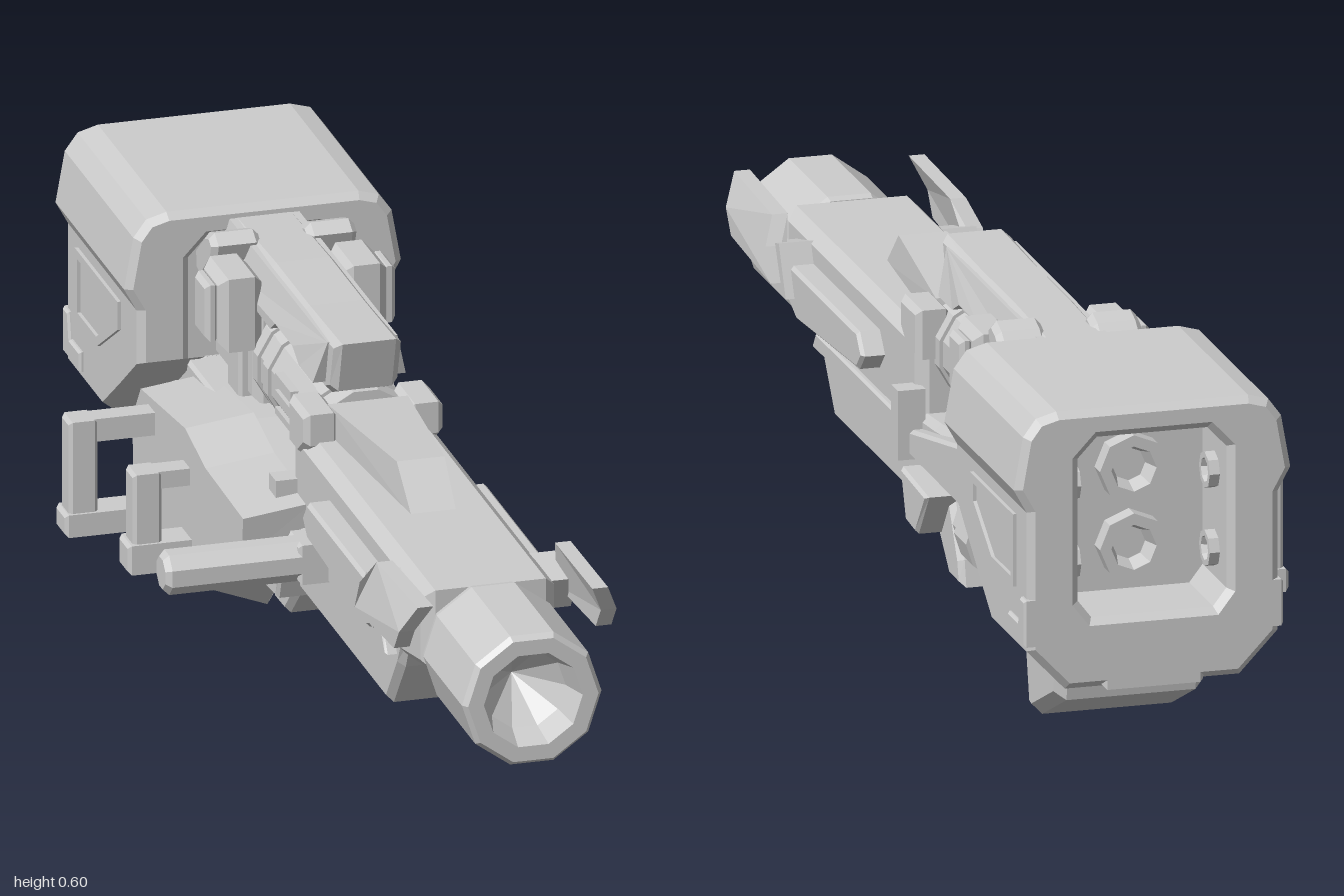
import * as THREE from 'three';

const CX = 0.08; // the gun's own centre line
const gunmetal = new THREE.MeshStandardMaterial({ color: 0xcccccc });
gunmetal.name = 'light gunmetal grey';

export function createModel() {
  const root = new THREE.Group();
  root.name = 'heavyGun';

  function add(name, geometry) {
    const g = geometry.index ? geometry.toNonIndexed() : geometry;
    g.computeVertexNormals(); // faceted
    const mesh = new THREE.Mesh(g, gunmetal);
    mesh.name = name;
    root.add(mesh);
    return mesh;
  }
  const shapeOf = pts => new THREE.Shape(pts.map(p => new THREE.Vector2(p[0], p[1])));
  const extrude = (shape, depth, b, steps = 1) => {
    const g = new THREE.ExtrudeGeometry(shape, {
      depth: depth - 2 * b, steps, bevelEnabled: b > 0, bevelThickness: b,
      bevelSize: b, bevelOffset: -b, bevelSegments: 1,
    });
    return g.translate(0, 0, b);
  };
  // move every vertex by a rule that edits the vector in place
  const reshape = (g, rule) => {
    const p = g.attributes.position;
    const v = new THREE.Vector3();
    for (let i = 0; i < p.count; i++) {
      rule(v.fromBufferAttribute(p, i));
      p.setXYZ(i, v.x, v.y, v.z);
    }
    g.computeVertexNormals();
    return g;
  };
  // side profile of [z, y] points, stretched from x0 to x1
  const prism = (name, pts, x0, x1, b = 0) =>
    add(name, extrude(shapeOf(pts), x1 - x0, b).rotateY(-Math.PI / 2).translate(x1, 0, 0));
  const pair = (name, pts, x0, x1, b = 0) => [
    prism(name + 'Left', pts, x0, x1, b),
    prism(name + 'Right', pts, 2 * CX - x1, 2 * CX - x0, b)];
  const rect = (z0, z1, y0, y1) => [[z0, y0], [z1, y0], [z1, y1], [z0, y1]];
  const box = (name, x0, x1, y0, y1, z0, z1, b = 0.006) => prism(name, rect(z0, z1, y0, y1), x0, x1, b);
  const tube = (name, r, z0, z1, x, y, sides) =>
    add(name, new THREE.CylinderGeometry(r, r, z1 - z0, sides).rotateX(Math.PI / 2)
      .rotateZ(Math.PI / sides).translate(x, y, (z0 + z1) / 2));

  // muzzle with a conical bore
  const muzzle = [[0, 0.745], [0.116, 0.75], [0.12, 0.765], [0.12, 0.89], [0.12, 0.99],
    [0.112, 1], [0.085, 1], [0.07, 0.95], [0, 0.87]];
  add('muzzle', new THREE.LatheGeometry(muzzle.map(p => new THREE.Vector2(...p)), 10, Math.PI / 2)
    .rotateX(Math.PI / 2).translate(CX, 0.326, 0));

  // barrel shroud and lower fore-end
  prism('barrelShroud', [[0.75, 0.29], [0.75, 0.435], [-0.02, 0.435], [-0.02, 0.26], [0.6, 0.26]], -0.035, 0.195, 0.02);
  prism('foreEnd', [[0.6, 0.29], [0.57, 0.23], [0.5, 0.14], [-0.02, 0.14], [-0.02, 0.29]], -0.025, 0.185, 0.012);
  pair('foreEndStrip', [[0.56, 0.25], [0.54, 0.28], [0, 0.28], [0, 0.25]], 0.18, 0.205, 0.004);

  // top wedge, tapered towards the muzzle
  const wedge = prism('topWedge', [[0.42, 0.43], [0.34, 0.5], [0.03, 0.485], [0.02, 0.43]], 0.01, 0.15);
  reshape(wedge.geometry, v => {
    const t = THREE.MathUtils.clamp((v.z - 0.02) / 0.35, 0, 1);
    v.x = CX + (v.x - CX) * (1 - 0.45 * t);
  });

  // side rails, forward blades leaning inwards at the top, and shoulder blocks
  pair('sideRail', [[0.66, 0.37], [0.62, 0.33], [0.55, 0.3], [0.2, 0.32], [0.17, 0.35], [0.2, 0.385], [0.6, 0.385]], 0.18, 0.235, 0.006);
  const bladeSide = [[0.88, 0.462], [0.85, 0.41], [0.82, 0.37], [0.59, 0.355], [0.62, 0.41], [0.65, 0.455]];
  for (const blade of pair('forwardBlade', bladeSide, 0.24, 0.267))
    reshape(blade.geometry, v => {
      v.x -= Math.sign(v.x - CX) * Math.max(0, v.y - 0.41) * 0.45;
    });
  pair('bladeMount', [[0.68, 0.4], [0.64, 0.335], [0.56, 0.335], [0.6, 0.42]], 0.19, 0.25);
  pair('shoulderBlock', [[0.07, 0.43], [0.07, 0.485], [-0.03, 0.485], [-0.03, 0.4], [0.03, 0.4]], 0.14, 0.2, 0.01);
  pair('framePlate', [[0.01, 0.23], [0.01, 0.35], [-0.03, 0.35], [-0.03, 0.23]], 0.185, 0.232);

  // exposed chamber with ribs
  tube('chamber', 0.085, -0.36, 0.02, CX, 0.415, 12);
  for (const z of [-0.04, -0.27, -0.33]) tube('chamberRing', 0.091, z - 0.015, z + 0.015, CX, 0.415, 12);
  for (const y of [0.385, 0.415, 0.445])
    pair('chamberRib', rect(-0.21, -0.12, y - 0.006, y + 0.006), 0.14, 0.169);

  // receiver frame behind the fore-end
  prism('receiver', [[0.02, 0.22], [0.02, 0.3], [-0.1, 0.31], [-0.3, 0.335], [-0.62, 0.335], [-0.82, 0.2],
    [-0.62, 0.22]], -0.03, 0.19, 0.012);
  pair('receiverCheek', [[0, 0.235], [0, 0.275], [-0.3, 0.335], [-0.58, 0.335], [-0.61, 0.23]], 0.17, 0.212, 0.006);
  box('rearBlock', 0, 0.16, 0.33, 0.53, -0.6, -0.36, 0.015);

  // carry handle with a leaning front face and sloping flanks
  prism('carryHandle', [[0.04, 0.592], [-0.15, 0.588], [-0.35, 0.588], [-0.59, 0.58], [-0.59, 0.495],
    [-0.02, 0.485], [0.015, 0.5]], 0.022, 0.138, 0.012);
  const flank = [[0.0, 0.582], [-0.58, 0.58], [-0.58, 0.51], [-0.27, 0.505], [-0.24, 0.525], [-0.14, 0.525], [-0.1, 0.505], [-0.02, 0.505]];
  for (const side of pair('handleFlank', flank, 0.12, 0.16))
    reshape(side.geometry, v => {
      if (v.y > 0.55) v.x = CX + (v.x - CX) * 0.75;
    });

  // clamps on both sides of the rear block
  pair('sideClamp', rect(-0.45, -0.34, 0.44, 0.57), 0.15, 0.225, 0.015);
  pair('clampCap', rect(-0.43, -0.36, 0.455, 0.555), 0.22, 0.244, 0.008);
  pair('tiltedClamp', [[-0.45, 0.585], [-0.475, 0.6], [-0.505, 0.59], [-0.56, 0.545], [-0.555, 0.505], [-0.52, 0.5],
    [-0.46, 0.555]], 0.12, 0.205, 0.01);
  pair('clampFoot', rect(-0.47, -0.4, 0.32, 0.45), 0.13, 0.175, 0.006);

  // rear housing: a hollow shell whose underside slopes up to the front
  const half = [[0.165, 0.6], [0.2, 0.59], [0.222, 0.56], [0.238, 0.47], [0.216, 0.43], [0.216, 0.19], [0.15, 0.12]];
  const outline = (pts, k = 1) => [...pts.map(p => [CX - p[0] * k, p[1]]),
    ...pts.slice().reverse().map(p => [CX + p[0] * k, p[1]])];
  const hollow = [[0.095, 0.55], [0.128, 0.515], [0.128, 0.27], [0.105, 0.24]];
  const slopeBottom = g => reshape(g, v => {
    const t = THREE.MathUtils.clamp((v.z + 0.88) / 0.3, 0, 1);
    v.y = Math.max(v.y, 0.12 + 0.22 * t);
  });
  const shell = shapeOf(outline(half));
  shell.holes.push(new THREE.Path(outline(hollow).map(p => new THREE.Vector2(...p))));
  add('rearHousing', slopeBottom(extrude(shell, 0.425, 0.012, 4).translate(0, 0, -1)));
  add('housingCore', slopeBottom(extrude(shapeOf(outline(hollow, 1.12)), 0.26, 0).translate(0, 0, -0.85)));

  // exhaust nozzles on the floor and the walls of the hollow
  const ring = [[0.028, 0], [0.045, 0], [0.045, 0.025], [0.03, 0.025], [0.022, 0], [0, 0]];
  const nozzle = s => new THREE.LatheGeometry(ring.map(p => new THREE.Vector2(p[0] * s, p[1] * s)), 8);
  for (const y of [0.32, 0.455]) {
    add('exhaustNozzle', nozzle(1.3).rotateX(-Math.PI / 2).translate(CX, y, -0.852));
    for (const s of [-1, 1])
      add('wallNozzle', nozzle(0.7).rotateZ(s * Math.PI / 2).translate(CX + s * 0.128, y, -0.92));
  }

  // framed side panels and rear corner bumpers
  const panel = shapeOf([[-0.68, 0.41], [-0.93, 0.41], [-0.93, 0.285], [-0.8, 0.285], [-0.68, 0.36]]);
  panel.holes.push(new THREE.Path([[-0.7, 0.395], [-0.915, 0.395], [-0.915, 0.3], [-0.805, 0.3], [-0.7, 0.365]]
    .map(p => new THREE.Vector2(...p))));
  for (const x of [0.302, -0.133])
    add('panelFrame', extrude(panel, 0.009, 0).rotateY(-Math.PI / 2).translate(x, 0, 0));
  pair('cornerBumper', [[-0.9, 0.2], [-0.9, 0.235], [-0.96, 0.235], [-0.97, 0.28], [-1, 0.28], [-1, 0.2]], 0.25, 0.303, 0.004);
  box('rearBumper', -0.01, 0.17, 0.115, 0.2, -1, -0.9, 0.01);

  // underslung canister with end rings and its brackets
  tube('canister', 0.053, -0.62, -0.18, 0.13, 0.16, 10);
  for (const z of [-0.26, -0.59]) tube('canisterRing', 0.064, z - 0.035, z + 0.035, 0.13, 0.16, 10);
  box('canisterCradle', -0.01, 0.12, 0.1, 0.24, -0.62, -0.15);
  box('gripNeck', 0, 0.16, 0.1, 0.28, -0.72, -0.58);
  prism('frontBracket', [[0, 0.22], [-0.03, 0.15], [-0.13, 0.055], [-0.2, 0.055], [-0.19, 0.1], [-0.12, 0.22]], -0.015, 0.175, 0.01);
  pair('bracketCheek', [[0, 0.21], [-0.03, 0.125], [-0.09, 0.12], [-0.15, 0.2]], 0.16, 0.22, 0.006);

  // rear grip below the housing
  prism('rearGrip', [[-0.6, 0.18], [-0.62, 0.13], [-0.69, 0.1], [-0.71, 0.005], [-0.74, 0], [-0.88, 0.065],
    [-0.89, 0.12], [-0.8, 0.18], [-0.72, 0.21]], -0.045, 0.213, 0.018);
  pair('gripLink', rect(-0.77, -0.69, 0.17, 0.25), 0.14, 0.205, 0.008);

  // guard plate on the right side, its lower edge slanting inwards
  const guard = prism('sideGuard', [[0.06, 0.325], [0.05, 0.23], [-0.03, 0.2], [-0.11, 0.13], [-0.2, 0.065], [-0.5, 0.065],
    [-0.58, 0.11], [-0.59, 0.24], [-0.54, 0.325], [-0.28, 0.355], [-0.16, 0.33]], -0.143, -0.025);
  reshape(guard.geometry, v => {
    const outer = v.x < -0.1;
    if (v.y < 0.1) v.y += outer ? 0.025 : -0.02;
    if (outer && v.y > 0.3) v.y -= 0.015;
  });

  // two hand-grip loops standing off the guard
  box('rearPost', -0.292, -0.242, 0.1, 0.3, -0.5, -0.45);
  box('rearPostFoot', -0.3, -0.13, 0.098, 0.138, -0.505, -0.445);
  box('rearPostArm', -0.26, -0.13, 0.26, 0.3, -0.495, -0.455);
  box('frontPost', -0.242, -0.192, 0.105, 0.28, -0.295, -0.245);
  box('frontPostFoot', -0.252, -0.13, 0.105, 0.157, -0.3, -0.24);
  box('frontPostArm', -0.23, -0.13, 0.25, 0.28, -0.29, -0.25);

  // side handle bar
  add('handleBar', new THREE.CylinderGeometry(0.038, 0.038, 0.225, 8).rotateY(Math.PI / 8)
    .rotateZ(Math.PI / 2).translate(-0.2, 0.285, 0.19));
  add('handleBarTip', new THREE.CylinderGeometry(0.038, 0.028, 0.01, 8).rotateY(Math.PI / 8)
    .rotateZ(-Math.PI / 2).translate(-0.3175, 0.285, 0.19));
  box('handleBarMount', -0.095, -0.01, 0.25, 0.32, 0.155, 0.225);

  return root;
}
